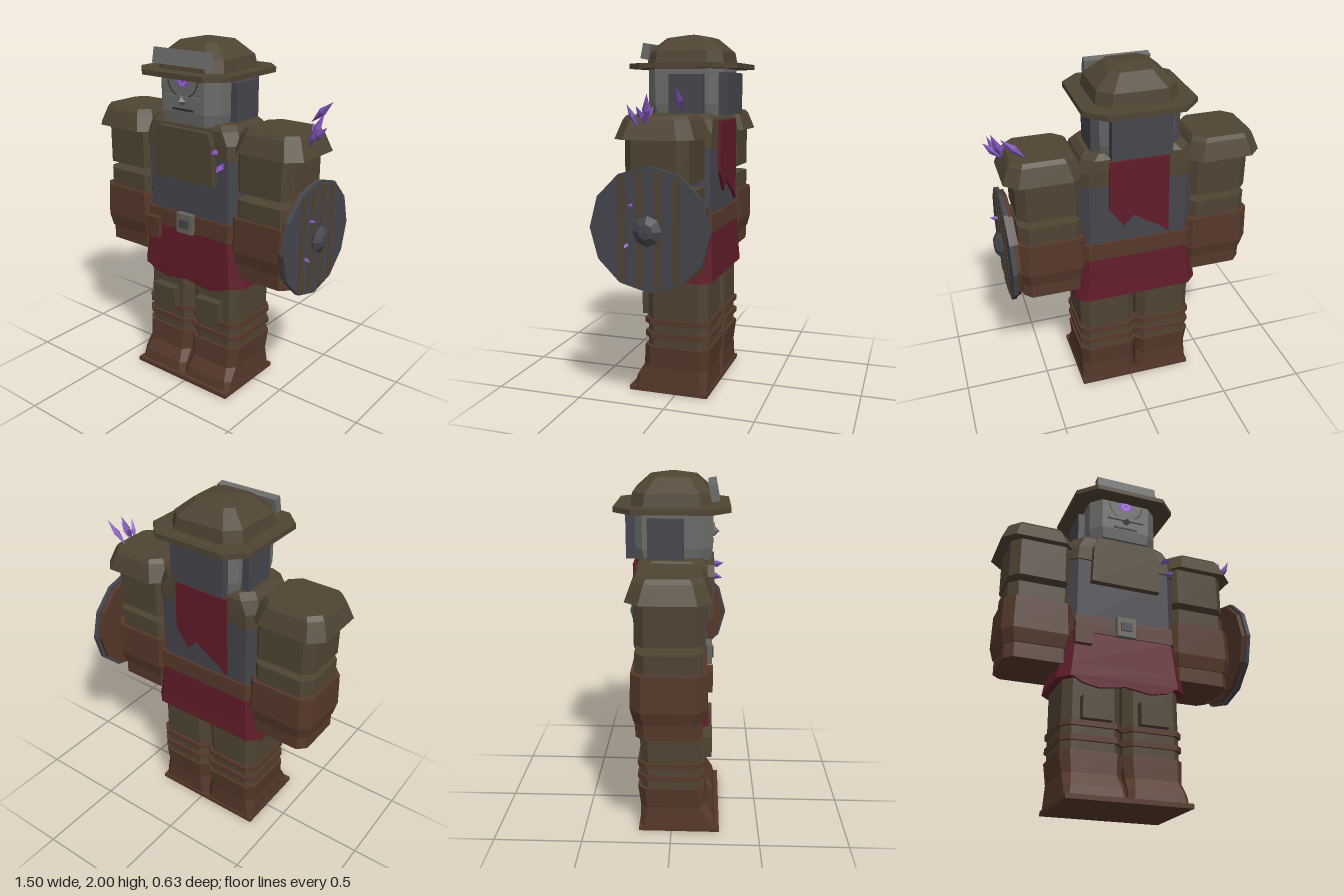
import * as THREE from 'three';

const mat = (name, color) => {
  const m = new THREE.MeshStandardMaterial({ color });
  m.name = name;
  return m;
};

// Faceted normals for any geometry
const facet = (g) => {
  const f = g.index ? g.toNonIndexed() : g;
  f.computeVertexNormals();
  return f;
};

// Stack of chamfered rectangles, bottom to top: [y, halfX, halfZ, chamfer, zOffset]
function loft(sections) {
  const pos = [], idx = [], n = 8;
  for (const [y, hx, hz, c, oz = 0] of sections) {
    const ring = [[hx, hz - c], [hx, c - hz], [hx - c, -hz], [c - hx, -hz],
      [-hx, c - hz], [-hx, hz - c], [c - hx, hz], [hx - c, hz]];
    for (const [x, z] of ring) pos.push(x, y, z + oz);
  }
  for (let s = 0; s < sections.length - 1; s++) {
    for (let i = 0; i < n; i++) {
      const a = s * n + i, b = s * n + (i + 1) % n;
      idx.push(a, b, b + n, a, b + n, a + n);
    }
  }
  const top = (sections.length - 1) * n;
  for (let i = 1; i < n - 1; i++) idx.push(0, i + 1, i, top, top + i, top + i + 1);
  const g = new THREE.BufferGeometry();
  g.setAttribute('position', new THREE.Float32BufferAttribute(pos, 3));
  g.setIndex(idx);
  return facet(g);
}

// Flat outline with a thickness
function plate(points, depth) {
  const shape = new THREE.Shape(points.map(([x, y]) => new THREE.Vector2(x, y)));
  return new THREE.ExtrudeGeometry(shape, { depth, bevelEnabled: false });
}

export function createModel() {
  const olive = mat('olive brown cloth', 0x4f4433);
  const leather = mat('leather', 0x56382a);
  const red = mat('dark red cloth', 0x601c29);
  const slate = mat('slate', 0x45454d);
  const grey = mat('grey metal', 0x6b6b6a);
  const buckleMetal = mat('buckle metal', 0x67645a);
  const purple = mat('purple crystal', 0x8055b8);
  const glow = mat('pale purple', 0xb478f0);
  const dark = mat('dark line', 0x2e2e32);

  const model = new THREE.Group();
  model.name = 'armouredFigure';
  const body = new THREE.Group();
  body.name = 'body';
  body.position.x = -0.035;
  model.add(body);

  const add = (parent, name, geometry, material, x = 0, y = 0, z = 0) => {
    const m = new THREE.Mesh(geometry, material);
    m.name = name;
    m.position.set(x, y, z);
    parent.add(m);
    return m;
  };
  const box = (parent, name, material, w, h, d, x, y, z) =>
    add(parent, name, new THREE.BoxGeometry(w, h, d), material, x, y, z);

  // Torso, collar, belt and skirt
  add(body, 'shirt', loft([[0.95, 0.325, 0.18, 0.05], [1.4, 0.325, 0.18, 0.05]]), slate);
  add(body, 'collar', loft([[1.39, 0.33, 0.19, 0.05], [1.47, 0.325, 0.19, 0.05],
    [1.54, 0.3, 0.185, 0.06], [1.57, 0.27, 0.16, 0.06]]), olive);
  add(body, 'chestPlate', plate([[-0.205, 1.24], [0.205, 1.24], [0.195, 1.47], [0.17, 1.53],
    [-0.17, 1.53], [-0.195, 1.47]], 0.04), olive, 0, 0, 0.185);
  add(body, 'belt', loft([[0.93, 0.338, 0.198, 0.05], [1.03, 0.338, 0.195, 0.05]]), leather);
  add(body, 'skirt', loft([[0.66, 0.37, 0.205, 0.06], [0.74, 0.355, 0.2, 0.055],
    [0.94, 0.33, 0.19, 0.05]]), red);
  add(body, 'skirtHem', plate([[-0.31, 0.67], [-0.24, 0.63], [-0.15, 0.612], [0, 0.635],
    [0.15, 0.612], [0.24, 0.63], [0.31, 0.67]], 0.015), red, 0, 0, 0.19);
  box(body, 'buckle', buckleMetal, 0.11, 0.115, 0.035, 0, 0.983, 0.205);
  box(body, 'buckleCentre', slate, 0.065, 0.05, 0.03, 0, 0.983, 0.215);
  box(body, 'pouch', leather, 0.1, 0.125, 0.05, -0.245, 0.912, 0.2);

  // Torn cape on the back
  add(body, 'cape', plate([[0.165, 1.53], [-0.165, 1.53], [-0.17, 1.06], [-0.11, 1.11],
    [-0.04, 1.15], [0.03, 1.2], [0.09, 1.14], [0.17, 1.25]], 0.015), red, 0, 0, -0.21);

  // Head and face
  const head = new THREE.Group();
  head.name = 'head';
  body.add(head);
  add(head, 'neck', loft([[1.5, 0.14, 0.14, 0.05], [1.57, 0.14, 0.14, 0.05]]), slate);
  add(head, 'skull', loft([[1.555, 0.195, 0.205, 0.06], [1.62, 0.205, 0.215, 0.06],
    [1.82, 0.205, 0.215, 0.06]]), grey);
  for (const s of [-1, 1]) box(head, 'sideGuard', slate, 0.05, 0.22, 0.19, s * 0.22, 1.67, -0.032);
  box(head, 'backGuard', slate, 0.33, 0.23, 0.05, 0, 1.675, -0.22);
  add(head, 'eyeSocket', new THREE.RingGeometry(0.1, 0.107, 12, 1, Math.PI, Math.PI), dark, 0, 1.8, 0.217);
  const eye = add(head, 'eye', new THREE.CircleGeometry(0.048, 14), purple, 0, 1.787, 0.218);
  eye.scale.y = 0.7;
  add(head, 'iris', new THREE.RingGeometry(0.013, 0.026, 10), glow, 0, 1.787, 0.22);
  box(head, 'cheekBar', grey, 0.22, 0.022, 0.018, 0, 1.695, 0.218);
  add(head, 'nose', facet(new THREE.OctahedronGeometry(0.03)), grey, 0, 1.68, 0.222);
  box(head, 'mouth', dark, 0.145, 0.012, 0.008, 0, 1.633, 0.214);

  // Helmet
  add(head, 'helmetBrim', loft([[1.81, 0.305, 0.305, 0.1], [1.838, 0.305, 0.305, 0.1]]), olive);
  add(head, 'helmetDome', loft([[1.83, 0.225, 0.22, 0.07], [1.905, 0.212, 0.208, 0.07],
    [1.98, 0.125, 0.125, 0.04], [2.0, 0.02, 0.02, 0.008]]), olive);
  const crest = box(head, 'helmetPlate', grey, 0.37, 0.085, 0.045, 0, 1.905, 0.218);
  crest.rotation.x = -0.2;

  // Arms and legs, mirrored
  for (const s of [-1, 1]) {
    const side = s > 0 ? 'left' : 'right';
    const arm = new THREE.Group();
    arm.name = side + 'Arm';
    arm.position.x = s * 0.476;
    body.add(arm);
    add(arm, 'shoulderPad', loft([[1.455, 0.215, 0.21, 0.07], [1.55, 0.178, 0.175, 0.06],
      [1.572, 0.162, 0.158, 0.055]]), olive, s * 0.024);
    add(arm, 'upperArm', loft([[1.23, 0.18, 0.17, 0.05], [1.47, 0.18, 0.17, 0.05]]), olive);
    add(arm, 'forearm', loft([[1.07, 0.18, 0.17, 0.05], [1.187, 0.18, 0.17, 0.05]]), olive);
    add(arm, 'gauntlet', loft([[0.82, 0.188, 0.178, 0.05], [0.895, 0.205, 0.195, 0.055],
      [1.085, 0.2, 0.19, 0.055]]), leather);
    add(arm, 'hand', loft([[0.735, 0.18, 0.17, 0.045], [0.83, 0.18, 0.17, 0.045]]), leather);

    const leg = new THREE.Group();
    leg.name = side + 'Leg';
    leg.position.x = s * 0.17;
    body.add(leg);
    add(leg, 'trouser', loft([[0.25, 0.162, 0.175, 0.045], [0.72, 0.162, 0.175, 0.045]]), olive);
    box(leg, 'kneePatch', olive, 0.165, 0.125, 0.055, s * -0.008, 0.493, 0.2);
    for (const y of [0.415, 0.337]) {
      add(leg, 'strap', loft([[y - 0.015, 0.172, 0.19, 0.045], [y + 0.015, 0.172, 0.19, 0.045]]), leather);
    }
    add(leg, 'boot', loft([[0.02, 0.168, 0.215, 0.025, 0.038], [0.08, 0.164, 0.208, 0.03, 0.032],
      [0.15, 0.16, 0.188, 0.04, 0.012], [0.272, 0.173, 0.19, 0.045]]), leather);
    box(leg, 'sole', leather, 0.342, 0.025, 0.46, 0, 0.0125, 0.045);
  }

  // Round shield on the left arm
  const shield = new THREE.Group();
  shield.name = 'shield';
  shield.position.set(0.645, 1.015, 0);
  shield.rotation.z = -Math.PI / 2;
  model.add(shield);
  const disc = (r, h) => facet(new THREE.CylinderGeometry(r, r, h, 12));
  add(shield, 'shieldBack', disc(0.3, 0.024), leather, 0, 0.012, 0);
  add(shield, 'shieldFace', disc(0.317, 0.024), slate, 0, 0.036, 0);
  for (const z of [-0.143, -0.048, 0.048, 0.143]) {
    const len = Math.abs(z) > 0.1 ? 0.53 : 0.58;
    box(shield, 'shieldSlat', olive, len, 0.006, 0.04, 0, 0.049, z);
  }
  const bossProfile = [[0.055, 0.045], [0.078, 0.07], [0.04, 0.096], [0, 0.1]];
  add(shield, 'shieldBoss', facet(new THREE.LatheGeometry(
    bossProfile.map(([r, y]) => new THREE.Vector2(r, y)), 8)), slate);

  // Crystals, each from base to tip with a radius
  const crystals = [
    [[0.55, 1.59, -0.13], [0.67, 1.71, -0.135], 0.022],
    [[0.64, 1.52, 0.03], [0.7, 1.68, 0.0], 0.022],
    [[0.65, 1.53, 0.02], [0.74, 1.62, 0.04], 0.02],
    [[0.66, 1.51, 0.06], [0.71, 1.63, 0.1], 0.018],
    [[0.67, 1.55, 0.03], [0.63, 1.62, -0.01], 0.018],
    [[0.19, 1.44, 0.2], [0.215, 1.447, 0.285], 0.02],
    [[0.22, 1.38, 0.19], [0.24, 1.35, 0.28], 0.02],
    [[0.68, 1.13, 0.08], [0.74, 1.14, 0.09], 0.014],
    [[0.68, 0.94, 0.11], [0.73, 0.925, 0.12], 0.014],
  ];
  const up = new THREE.Vector3(0, 1, 0);
  for (const [from, to, r] of crystals) {
    const a = new THREE.Vector3(...from), b = new THREE.Vector3(...to);
    const dir = b.clone().sub(a);
    const mid = a.clone().add(b).multiplyScalar(0.5);
    const c = add(model, 'crystal', new THREE.OctahedronGeometry(1), purple, mid.x, mid.y, mid.z);
    c.scale.set(r, dir.length() / 2, r);
    c.quaternion.setFromUnitVectors(up, dir.normalize());
  }
  return model;
}
